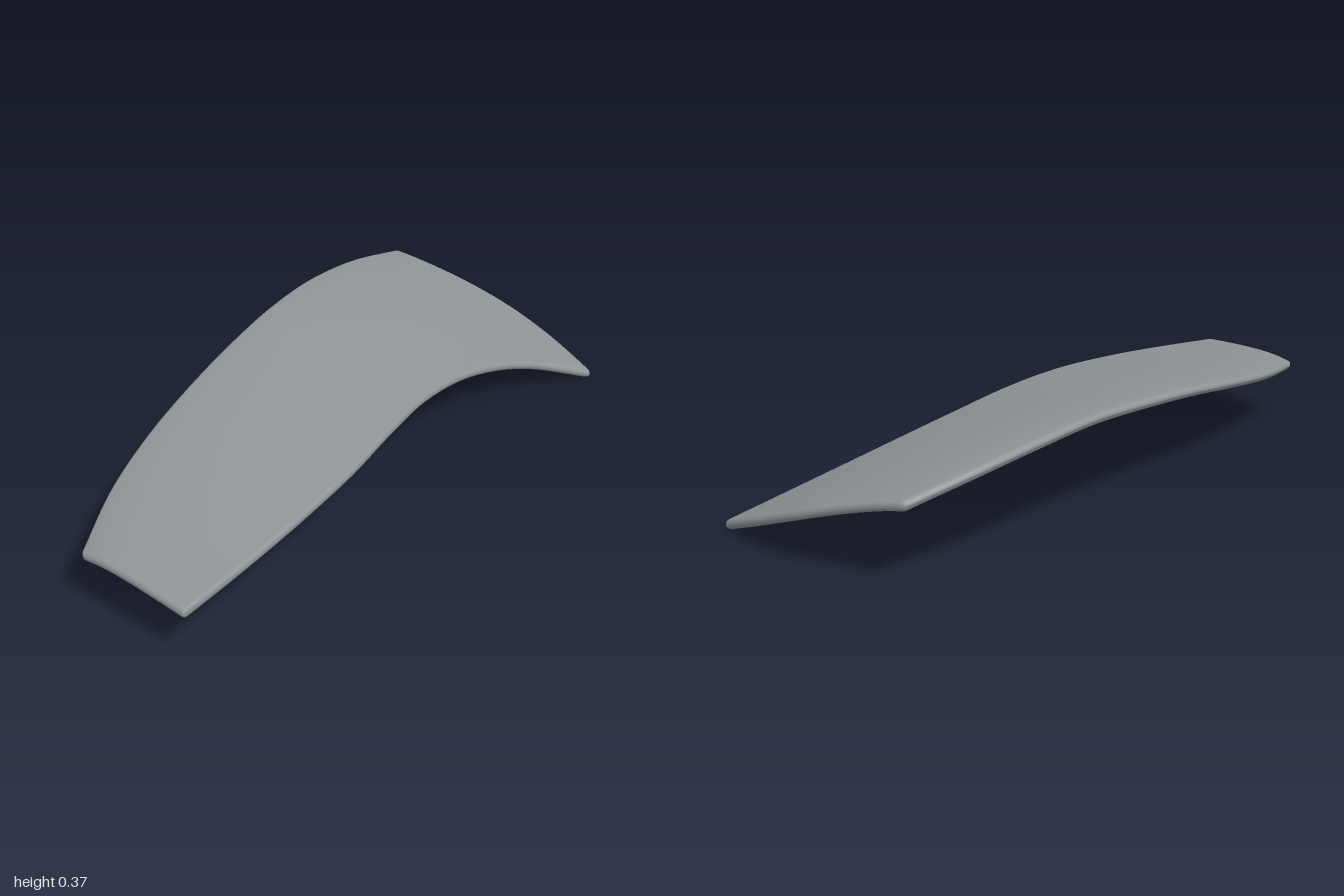
import * as THREE from 'three';
import { mergeVertices } from 'three/addons/utils/BufferGeometryUtils.js';

const HALF = 0.016; // half thickness of the shell
const curve = (pts) => new THREE.CatmullRomCurve3(pts.map((p) => new THREE.Vector3(...p)));

// long edges of the shell, back to front
const leftEdge = curve([
  [-0.37, 0.282, -0.87], [-0.396, 0.326, -0.64], [-0.392, 0.353, -0.41],
  [-0.365, 0.362, -0.175], [-0.333, 0.347, 0.06], [-0.295, 0.322, 0.29],
  [-0.25, 0.286, 0.52], [-0.182, 0.245, 0.75], [-0.072, 0.202, 0.985],
]);
const rightEdge = curve([
  [0.392, 0.013, -0.98], [0.274, 0.122, -0.735], [0.225, 0.192, -0.49],
  [0.228, 0.232, -0.24], [0.266, 0.249, 0.005], [0.305, 0.248, 0.25],
  [0.32, 0.236, 0.5], [0.32, 0.218, 0.745], [0.31, 0.198, 0.99],
]);

// quarter-round falloff near both ends of 0..1
function rim(t, r) {
  const d = Math.min(1, Math.min(t, 1 - t) / r);
  return Math.sqrt(Math.max(0, 1 - (1 - d) ** 2));
}

// middle surface: blend of the edges, crowned across, with a bowed back end
function surface(u, v) {
  const p = leftEdge.getPoint(v).lerp(rightEdge.getPoint(v), u);
  const w = Math.max(0, u);
  p.y += (0.021 - 0.006 * v) * Math.sin(Math.PI * w ** 0.65);
  p.z -= 0.052 * Math.sin(Math.PI * w ** 1.2) * (1 - v) ** 2;
  return p;
}

function normalAt(u, v) {
  const e = 0.002;
  const u0 = Math.max(0, u - e), u1 = Math.min(1, u + e);
  const v0 = Math.max(0, v - e), v1 = Math.min(1, v + e);
  const du = surface(u1, v).sub(surface(u0, v));
  const dv = surface(u, v1).sub(surface(u, v0));
  return dv.cross(du).normalize();
}

// parameter steps, packed tightly inside the rounded rim
function steps(r, inner) {
  const list = [], n = 6;
  for (let i = 0; i < n; i++) list.push(r * (1 - Math.cos((i / n) * Math.PI / 2)));
  for (let i = 0; i <= inner; i++) list.push(r + (1 - 2 * r) * i / inner);
  for (let i = n - 1; i >= 0; i--) list.push(1 - list[i]);
  return list;
}

function shellGeometry() {
  const ru = 0.024, rv = 0.008;
  const us = steps(ru, 24), vs = steps(rv, 64);
  const positions = [], index = [];
  const cols = us.length, rows = vs.length;
  for (const side of [1, -1]) {
    const base = positions.length / 3;
    for (const v of vs) {
      for (const u of us) {
        const uc = 0.5 + (u - 0.5) * (1 - 0.05 * (1 - rim(v, rv))); // rounded corners
        const h = side * HALF * rim(u, ru) * rim(v, rv);
        const p = surface(uc, v).addScaledVector(normalAt(uc, v), h);
        positions.push(p.x, p.y, p.z);
      }
    }
    for (let j = 0; j < rows - 1; j++) {
      for (let i = 0; i < cols - 1; i++) {
        const a = base + j * cols + i, b = a + 1, c = a + cols, d = c + 1;
        if (side > 0) index.push(a, c, b, b, c, d);
        else index.push(a, b, c, b, d, c);
      }
    }
  }
  const geo = new THREE.BufferGeometry();
  geo.setAttribute('position', new THREE.Float32BufferAttribute(positions, 3));
  geo.setIndex(index);
  const merged = mergeVertices(geo, 1e-5);
  merged.computeVertexNormals();
  return merged;
}

export function createModel() {
  const grey = new THREE.MeshStandardMaterial({ color: 0x8f9497 });
  grey.name = 'grey';
  const panel = new THREE.Mesh(shellGeometry(), grey);
  panel.name = 'curvedPanel';
  const group = new THREE.Group();
  group.name = 'curvedShell';
  group.add(panel);

  // stand on the ground, centred
  const box = new THREE.Box3().setFromObject(panel);
  const c = box.getCenter(new THREE.Vector3());
  panel.position.set(-c.x, -box.min.y, -c.z);
  return group;
}
